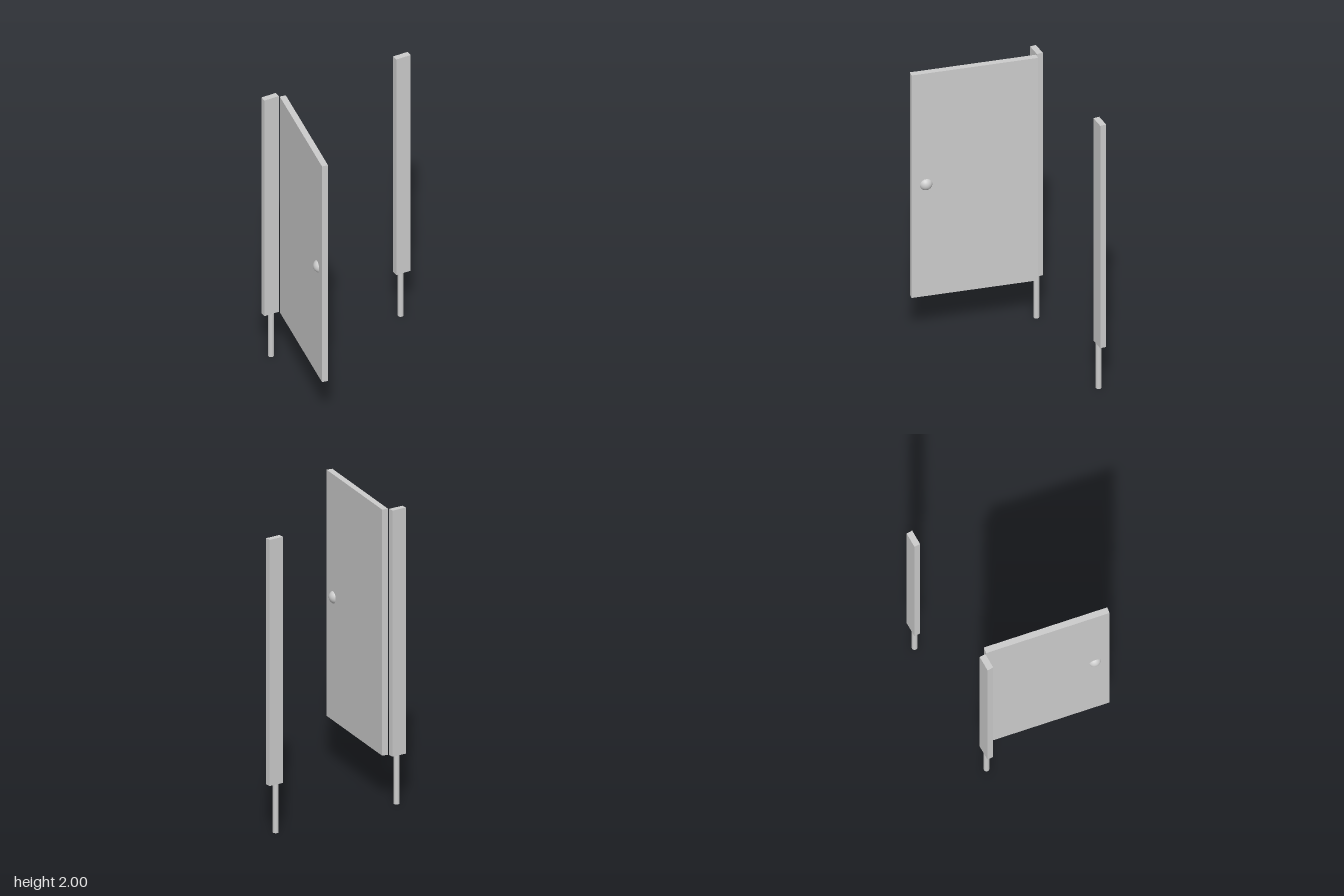
import * as THREE from 'three';

const material = new THREE.MeshStandardMaterial({ color: 0xcccccc });
const BOTTOM = 0.333, TOP = 2;
const HEIGHT = TOP - BOTTOM, MIDDLE = (TOP + BOTTOM) / 2;

function addPart(parent, name, geometry, x, y, z) {
  const mesh = new THREE.Mesh(geometry, material);
  mesh.name = name;
  mesh.position.set(x, y, z);
  parent.add(mesh);
}

// Side panel standing on a round leg
function createPost(name, panelX, legX) {
  const post = new THREE.Group();
  post.name = name;
  addPart(post, 'panel', new THREE.BoxGeometry(0.104, HEIGHT, 0.041), panelX, MIDDLE, -0.42);
  addPart(post, 'leg', new THREE.CylinderGeometry(0.019, 0.019, BOTTOM, 24), legX, BOTTOM / 2, -0.417);
  return post;
}

export function createModel() {
  const model = new THREE.Group();
  model.name = 'stallDoor';
  model.add(createPost('rightPost', -0.457, -0.452), createPost('leftPost', 0.502, 0.491));

  // Door swung open, with a knob showing on both faces
  const door = new THREE.Group();
  door.name = 'door';
  door.position.set(-0.454, 0, 0.021);
  door.rotation.y = THREE.MathUtils.degToRad(-10);
  addPart(door, 'doorPanel', new THREE.BoxGeometry(0.041, HEIGHT, 0.833), 0, MIDDLE, 0);
  addPart(door, 'knob', new THREE.SphereGeometry(0.046, 32, 20), 0, 1.167, 0.32);
  model.add(door);
  return model;
}
